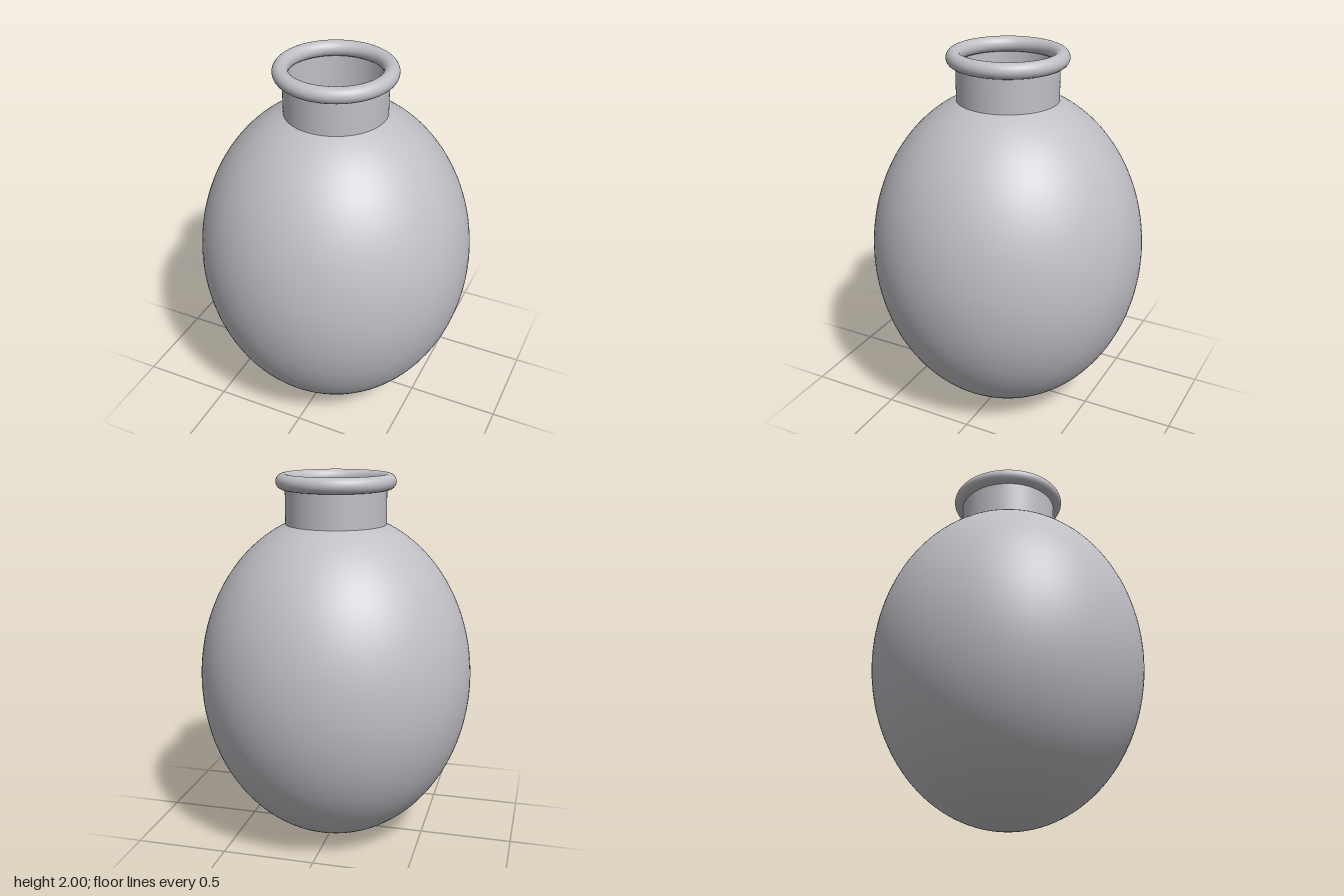
import * as THREE from 'three';

const BODY_RX = 0.737, BODY_RY = 0.897, BODY_Y = 0.902;
const NECK_R = 0.268;

export function createModel() {
  const model = new THREE.Group();
  const grey = new THREE.MeshStandardMaterial({ color: 0xbfbfc5, side: THREE.DoubleSide });
  grey.name = 'ceramicGrey';
  const orange = new THREE.MeshStandardMaterial({ color: 0xe07a2e });
  orange.name = 'brightOrange';

  const add = (name, geometry, material, y) => {
    const mesh = new THREE.Mesh(geometry, material);
    mesh.name = name;
    mesh.position.y = y;
    model.add(mesh);
    return mesh;
  };

  // egg-shaped body, open where the neck begins
  const opening = Math.asin(NECK_R / BODY_RX);
  const body = add('body',
    new THREE.SphereGeometry(1, 96, 64, 0, Math.PI * 2, opening, Math.PI - opening), grey, BODY_Y);
  body.scale.set(BODY_RX, BODY_RY, BODY_RX);

  // straight open neck
  const neckBase = BODY_Y + BODY_RY * Math.cos(opening);
  const neckHeight = 1.96 - neckBase;
  add('neck', new THREE.CylinderGeometry(NECK_R, NECK_R, neckHeight, 96, 1, true),
    grey, neckBase + neckHeight / 2);

  // rounded lip
  const rim = new THREE.TorusGeometry(0.275, 0.041, 24, 96);
  rim.rotateX(Math.PI / 2);
  add('rim', rim, grey, 1.959);

  // orange contents: a small ball resting on a larger core
  const core = add('innerCore', new THREE.SphereGeometry(0.3, 48, 32), orange, 0.72);
  core.scale.y = 2.2;
  add('innerBall', new THREE.SphereGeometry(0.195, 48, 32), orange, 1.5);

  return model;
}
